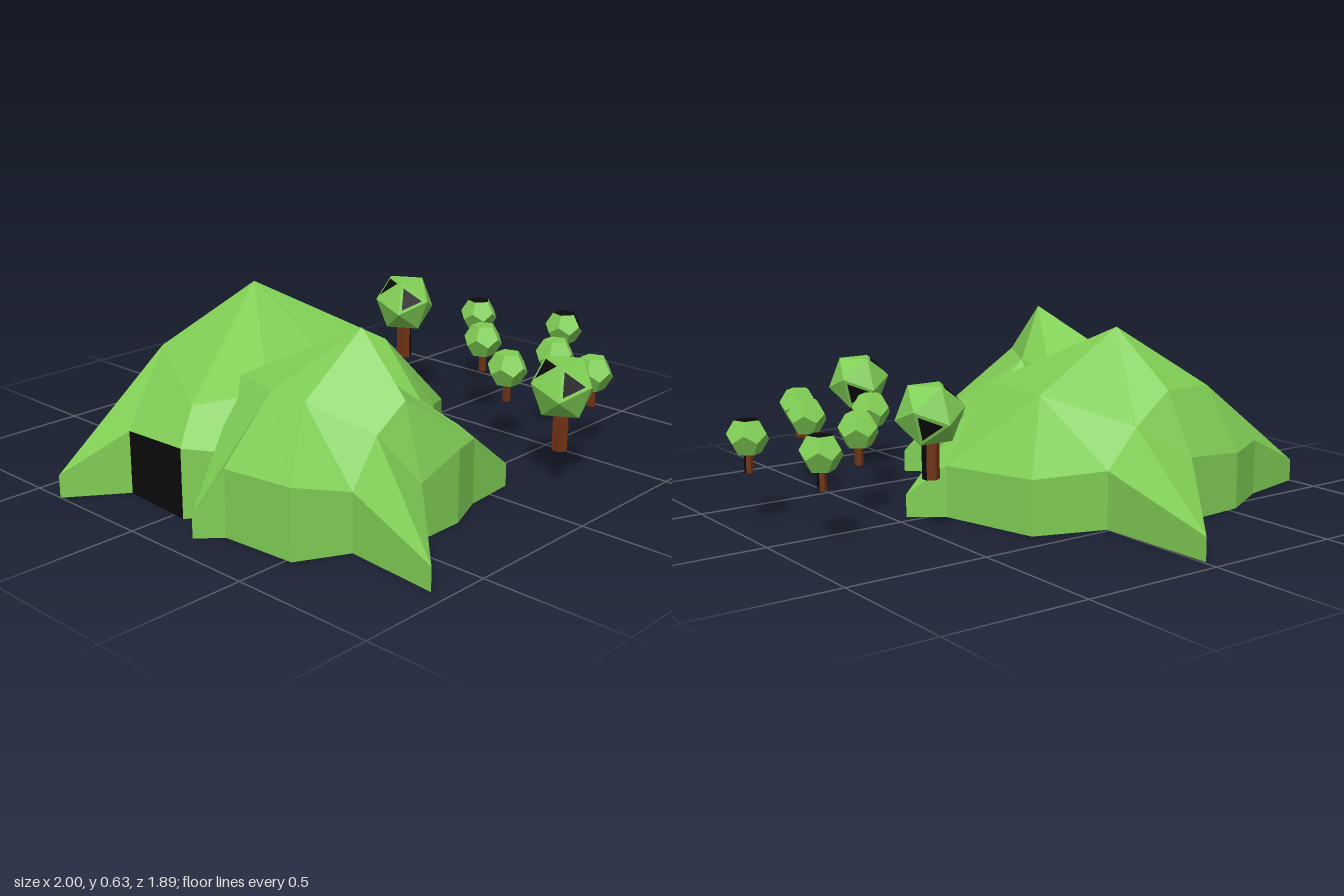
import * as THREE from 'three';

const mat = (name, color) => {
  const m = new THREE.MeshStandardMaterial({ color, flatShading: true });
  m.name = name;
  return m;
};
const V = (x, y, z) => new THREE.Vector3(x, y, z);

// Faceted hill: peak, ring of shoulders, then an outline with a wall down to the ground.
// Both rings run counterclockwise from above; each outline point ends with its shoulder's index.
function hill(name, peak, mid, rim, mats, darkWall = -1) {
  const pos = [];
  const geo = new THREE.BufferGeometry();
  const tri = (...p) => p.forEach((v) => pos.push(v[0], v[1], v[2]));
  const ground = (p) => [p[0], 0, p[2]];
  const n = mid.length;
  mid.forEach((m, i) => tri(peak, m, mid[(i + 1) % n]));
  rim.forEach((a, i) => {
    const b = rim[(i + 1) % rim.length];
    tri(a, b, mid[a[3]]);
    for (let k = a[3]; k !== b[3]; k = (k + 1) % n) tri(b, mid[(k + 1) % n], mid[k]);
    tri(ground(peak), ground(b), ground(a));
  });
  geo.addGroup(0, pos.length / 3, 0);
  rim.forEach((a, i) => {
    const b = rim[(i + 1) % rim.length];
    geo.addGroup(pos.length / 3, 6, i === darkWall ? 1 : 0);
    tri(ground(a), ground(b), b);
    tri(ground(a), b, a);
  });
  geo.setAttribute('position', new THREE.Float32BufferAttribute(pos, 3));
  geo.computeVertexNormals();
  const mesh = new THREE.Mesh(geo, mats);
  mesh.name = name;
  return mesh;
}

// Turn a polyhedron so "axis" points up and "corner" points toward z * side
function faceUp(geo, axis, corner, side) {
  const q = new THREE.Quaternion().setFromUnitVectors(axis.clone().normalize(), V(0, 1, 0));
  const c = corner.clone().applyQuaternion(q);
  geo.applyQuaternion(q);
  geo.rotateY(Math.atan2(0, side) - Math.atan2(c.x, c.z));
  return geo;
}

// Corners and normal of the triangle starting at vertex i
function triangleAt(geo, i) {
  const corners = [0, 1, 2].map((k) => V(0, 0, 0).fromBufferAttribute(geo.attributes.position, i + k));
  const normal = corners[1].clone().sub(corners[0]).cross(corners[2].clone().sub(corners[0])).normalize();
  return { corners, normal };
}

// Give the faces pointing along "dir" the second material
function paintFaces(geo, dir, limit, perFace) {
  const g = geo.index ? geo.toNonIndexed() : geo;
  g.clearGroups();
  for (let i = 0; i < g.attributes.position.count; i += perFace) {
    g.addGroup(i, perFace, dir && triangleAt(g, i).normal.dot(dir) > limit ? 1 : 0);
  }
  return g;
}

// Small triangle lying on the face that points most nearly along "dir"
function facePatch(geo, dir, scale) {
  let best = triangleAt(geo, 0);
  for (let i = 3; i < geo.attributes.position.count; i += 3) {
    const t = triangleAt(geo, i);
    if (t.normal.dot(dir) > best.normal.dot(dir)) best = t;
  }
  const [a, b, c] = best.corners;
  const centre = a.clone().add(b).add(c).divideScalar(3);
  const points = best.corners.map((p) => centre.clone().lerp(p, scale).addScaledVector(best.normal, 0.002));
  const patch = new THREE.BufferGeometry().setFromPoints(points);
  patch.computeVertexNormals();
  return patch;
}

export function createModel() {
  const group = new THREE.Group();
  const grass = mat('grass green', 0x80ce55);
  const bark = mat('bark brown', 0x703214);
  const dark = mat('dark patch', 0x0a0a0a);
  const phi = (1 + Math.sqrt(5)) / 2;

  group.add(hill('backHill', [-0.26, 0.63, -0.22], [
    [0.1, 0.43, -0.25], [-0.13, 0.33, -0.48], [-0.27, 0.44, -0.48], [-0.53, 0.42, -0.4],
    [-0.74, 0.35, 0], [-0.55, 0.38, 0.15], [-0.25, 0.41, 0.15], [0.055, 0.42, 0.11],
  ], [
    [0.45, 0.08, 0.045, 7], [0.34, 0.18, -0.04, 0], [0.25, 0.19, -0.405, 0], [0, 0.2, -0.49, 1],
    [-0.01, 0.08, -0.945, 1], [-0.3, 0.22, -0.57, 2], [-0.54, 0.2, -0.55, 3], [-0.74, 0.2, -0.44, 3],
    [-1, 0.08, -0.38, 3], [-0.81, 0.22, -0.24, 4], [-0.83, 0.24, 0.045, 4], [-0.6, 0.2, 0.25, 5],
    [-0.3, 0.2, 0.4, 6], [-0.045, 0.2, 0.43, 7], [0.12, 0.2, 0.28, 7],
  ], [grass, dark], 9));

  group.add(hill('frontHill', [-0.42, 0.63, 0.44], [
    [-0.28, 0.44, 0.36], [-0.28, 0.42, 0.19], [-0.56, 0.42, 0.04], [-0.63, 0.43, 0.25],
    [-0.63, 0.43, 0.4], [-0.535, 0.35, 0.61], [-0.43, 0.44, 0.63],
  ], [
    [0.095, 0.08, 0.625, 0], [-0.02, 0.22, 0.51, 0], [-0.06, 0.27, 0.33, 0], [-0.2, 0.2, 0.1, 1],
    [-0.5, 0.2, -0.1, 2], [-0.72, 0.22, 0.1, 2], [-0.905, 0.08, 0.18, 3], [-0.83, 0.23, 0.25, 3],
    [-0.81, 0.24, 0.52, 4], [-0.64, 0.2, 0.61, 5], [-0.67, 0.08, 0.945, 5], [-0.43, 0.19, 0.7, 6],
    [-0.25, 0.25, 0.7, 6], [-0.1, 0.23, 0.64, 0],
  ], [grass, dark]));

  // A tree: faceted crown centred at y, trunk from "foot" up into the crown
  function tree(name, x, y, z, foot, radius, crownGeo, trunkDir) {
    const t = new THREE.Group();
    t.name = name;
    const crown = new THREE.Mesh(crownGeo, [grass, dark]);
    crown.name = 'crown';
    crown.position.y = y;
    const h = y - foot;
    const trunkGeo = paintFaces(new THREE.CylinderGeometry(radius, radius, h, 6), trunkDir, 0.8, 3);
    const trunk = new THREE.Mesh(trunkGeo, [bark, dark]);
    trunk.name = 'trunk';
    trunk.position.y = foot + h / 2;
    t.add(crown, trunk);
    t.position.set(x, 0, z);
    group.add(t);
    return crown;
  }

  // Two large trees with dark patches on the crowns
  const side = V(1, 0, 0);
  const patchDirs = [V(-0.3, 0.55, 0.78), V(-0.8, 0.45, -0.4), V(0.7, -0.3, -0.6)];
  [[0.22, 0.352, 0.75, 0.13, null], [0.503, 0.407, -0.195, 0.19, V(0.87, 0, 0.5)]].forEach(([x, y, z, foot, dir]) => {
    const geo = faceUp(new THREE.IcosahedronGeometry(0.117), V(1, 1, 1), V(0, 1, phi), -1);
    const crown = tree('largeTree', x, y, z, foot, 0.029, paintFaces(geo, null, 1, 3), dir);
    patchDirs.forEach((d) => {
      const patch = new THREE.Mesh(facePatch(geo, d, 0.7), dark);
      patch.name = 'crownPatch';
      crown.add(patch);
    });
  });

  // Six small trees, two of them with dark crown faces
  const up = V(0, 1, 0);
  const slant = V(0.5, 0.6, 0.62);
  [
    [0.85, -0.1, up, 0.9, side], [0.58, 0.135], [0.928, 0.26, slant, 0.55, side],
    [0.365, 0.415], [0.61, 0.445], [0.527, 0.665],
  ].forEach(([x, z, dir, limit, trunkDir]) => {
    const geo = faceUp(new THREE.DodecahedronGeometry(0.072), V(0, phi, 1), V(0, 1 / phi, phi), 1);
    tree('smallTree', x, 0.307, z, 0.185, 0.015, paintFaces(geo, dir, limit, 9), trunkDir);
  });

  return group;
}
